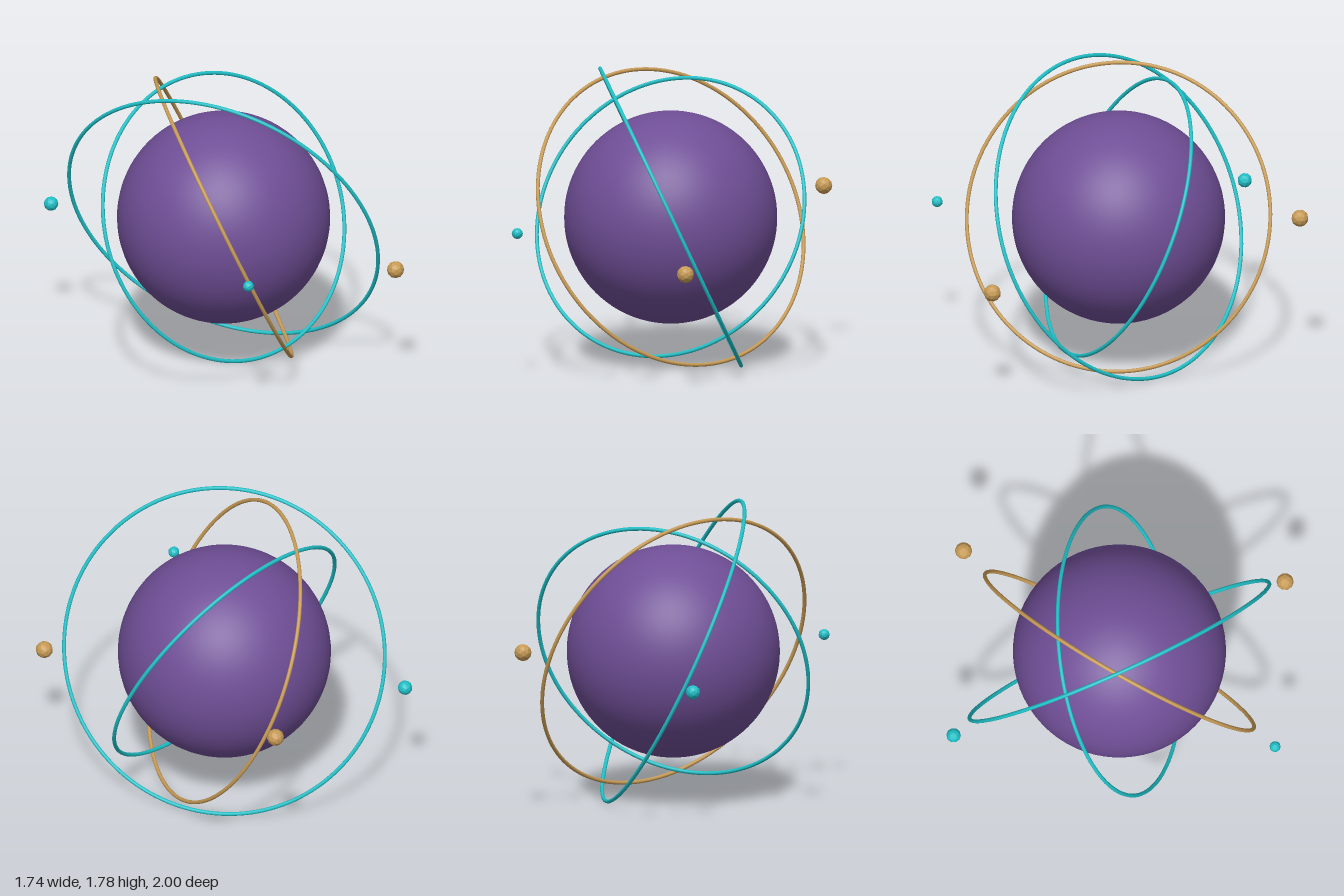
import * as THREE from 'three';

const CENTRE_Y = 0.898;
const TILT = THREE.MathUtils.degToRad(25);

function material(name, color, flatShading = false) {
  const m = new THREE.MeshStandardMaterial({ color, flatShading });
  m.name = name;
  return m;
}

export function createModel() {
  const group = new THREE.Group();
  group.name = 'ringedSphere';
  const purple = material('purple', 0x6f4e96);
  const teal = material('teal', 0x1fbfc6);
  const gold = material('gold', 0xc69a55);
  const tealFacet = material('tealFaceted', 0x1fbfc6, true);
  const goldFacet = material('goldFaceted', 0xc69a55, true);

  function add(name, geometry, mat, x, y, z) {
    const mesh = new THREE.Mesh(geometry, mat);
    mesh.name = name;
    mesh.position.set(x, y, z);
    group.add(mesh);
    return mesh;
  }

  // Central sphere
  add('core', new THREE.SphereGeometry(0.628, 64, 48), purple, 0, CENTRE_Y, 0);

  // Orbit rings: each axis is raised 25 degrees and turned around y
  const rings = [
    ['innerRing', 0.856, 0, teal],
    ['middleRing', 0.913, 60, gold],
    ['outerRing', 0.969, 120, teal],
  ];
  for (const [name, radius, turn, mat] of rings) {
    const ring = add(name, new THREE.TorusGeometry(radius, 0.0115, 10, 128), mat, 0, CENTRE_Y, 0);
    ring.rotation.set(-TILT, THREE.MathUtils.degToRad(turn), 0, 'YXZ');
  }

  // Small faceted satellites
  const satellites = [
    ['frontLeftSatellite', 0.051, 0.547, 0.732, 0.948, goldFacet],
    ['backLeftSatellite', 0.051, 0.547, 0.985, -0.949, goldFacet],
    ['frontRightSatellite', 0.033, -0.55, 0.9, 0.948, tealFacet],
    ['backRightSatellite', 0.043, -0.55, 0.815, -0.949, tealFacet],
  ];
  for (const [name, radius, x, y, z, mat] of satellites) {
    add(name, new THREE.IcosahedronGeometry(radius, 1), mat, x, y, z);
  }
  return group;
}
